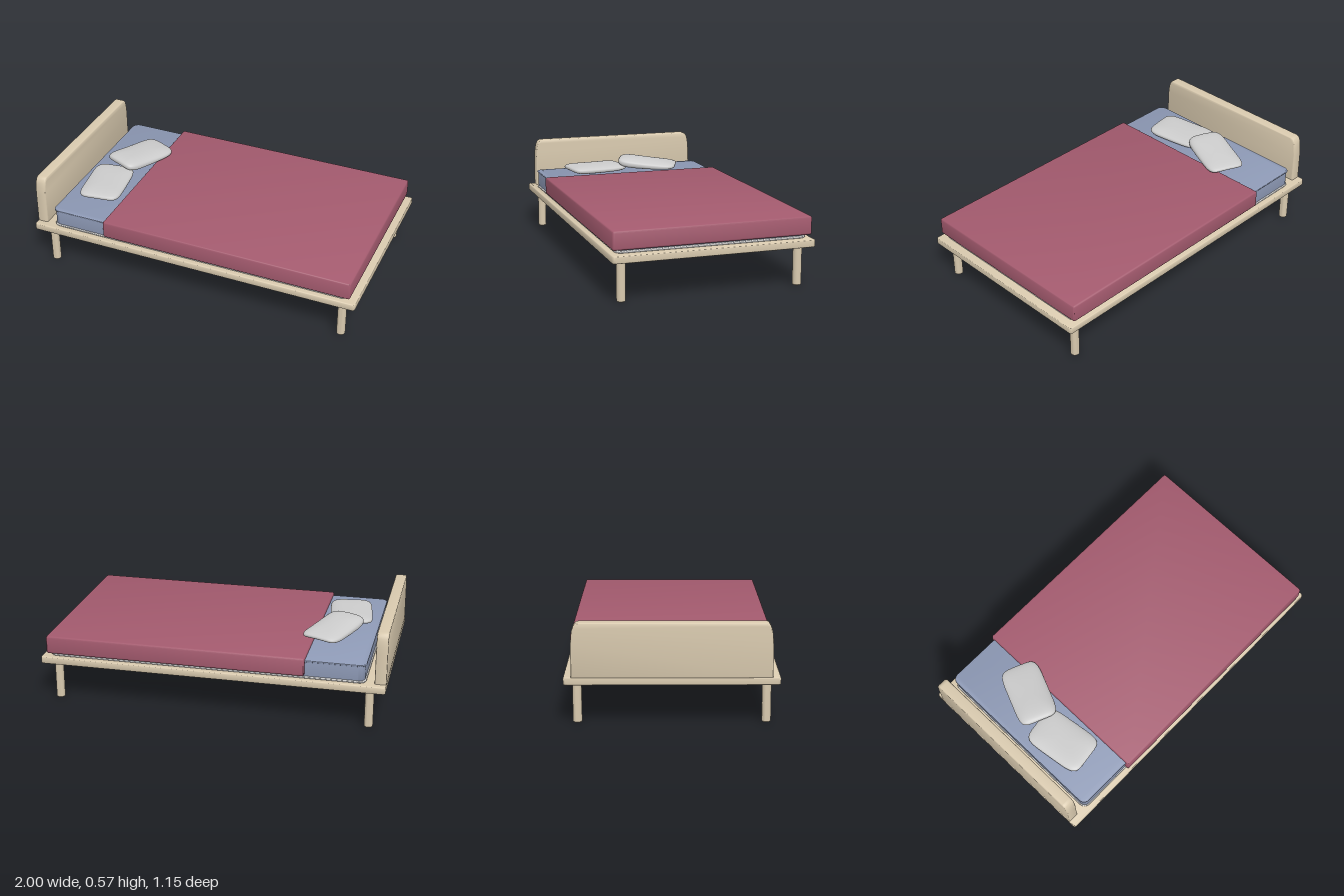
import * as THREE from 'three';
import { mergeVertices, toCreasedNormals } from 'three/addons/utils/BufferGeometryUtils.js';

const material = (color) => new THREE.MeshStandardMaterial({ color });
const WOOD = material(0xd8c9ae);
const BLUE = material(0x8d99b5);
const RED = material(0xa35a6e);
const GREY = material(0xcccccc);

function add(group, name, geometry, mat) {
  const mesh = new THREE.Mesh(geometry, mat);
  mesh.name = name;
  group.add(mesh);
  return mesh;
}

// Outline extruded to an exact depth, with rounded edges inside its limits
function extrude(shape, depth, bevel) {
  const geometry = new THREE.ExtrudeGeometry(shape, {
    depth: depth - 2 * bevel, bevelThickness: bevel, bevelSize: bevel,
    bevelOffset: -bevel, bevelSegments: 4, curveSegments: 8,
  });
  geometry.translate(0, 0, bevel);
  return toCreasedNormals(geometry, 0.6);
}

// Horizontal slab with rounded corners
function slab([x0, x1], [y0, y1], [z0, z1], radius, bevel) {
  const s = new THREE.Shape();
  const a = -z1, b = -z0, r = radius;
  s.moveTo(x0 + r, a);
  s.lineTo(x1 - r, a).absarc(x1 - r, a + r, r, -Math.PI / 2, 0);
  s.lineTo(x1, b - r).absarc(x1 - r, b - r, r, 0, Math.PI / 2);
  s.lineTo(x0 + r, b).absarc(x0 + r, b - r, r, Math.PI / 2, Math.PI);
  s.lineTo(x0, a + r).absarc(x0 + r, a + r, r, Math.PI, Math.PI * 1.5);
  return extrude(s, y1 - y0, bevel).rotateX(-Math.PI / 2).translate(0, y0, 0);
}

// Soft rectangular cushion; lift(u, v) and thick(u) shape it along its length u and width v
function pillow(length, width, lift, thick) {
  const g = new THREE.SphereGeometry(1, 56, 28);
  g.deleteAttribute('uv');
  g.deleteAttribute('normal');
  const geometry = mergeVertices(g, 1e-5);
  const p = geometry.attributes.position;
  const pow = (t, e) => Math.sign(t) * Math.abs(t) ** e;
  for (let i = 0; i < p.count; i++) {
    const x = p.getX(i), y = p.getY(i), z = p.getZ(i);
    const ring = Math.hypot(x, z);
    const angle = Math.atan2(z, x);
    const v = pow(Math.cos(angle), 0.36) * ring ** 0.75;
    const u = pow(Math.sin(angle), 0.36) * ring ** 0.75;
    p.setXYZ(i, v * width / 2, lift(u, v) + pow(y, 0.75) * thick(u), u * length / 2);
  }
  geometry.computeVertexNormals();
  return geometry;
}

export function createModel() {
  const bed = new THREE.Group();
  bed.name = 'bed';

  // Platform and legs
  add(bed, 'platform', slab([-1, 1], [0.228, 0.271], [-0.576, 0.576], 0.015, 0.008), WOOD);
  const legProfile = [[0, 0], [0.021, 0], [0.025, 0.005], [0.025, 0.232], [0, 0.232]]
    .map(([x, y]) => new THREE.Vector2(x, y));
  for (const x of [-0.908, 0.912]) {
    for (const z of [-0.507, 0.507]) {
      const leg = toCreasedNormals(new THREE.LatheGeometry(legProfile, 24), 0.6);
      add(bed, 'leg', leg, WOOD).position.set(x, 0, z);
    }
  }

  // Headboard, narrowing towards its rounded top
  const board = new THREE.Shape();
  board.moveTo(-0.535, 0.265);
  board.lineTo(0.535, 0.265);
  board.lineTo(0.533, 0.45);
  board.bezierCurveTo(0.53, 0.53, 0.52, 0.566, 0.49, 0.566);
  board.lineTo(-0.49, 0.566);
  board.bezierCurveTo(-0.52, 0.566, -0.53, 0.53, -0.533, 0.45);
  add(bed, 'headboard', extrude(board, 0.066, 0.01).rotateY(Math.PI / 2), WOOD).position.x = -1;

  // Mattress with a raised seam at top and bottom
  add(bed, 'mattress', slab([-0.88, 0.945], [0.275, 0.381], [-0.54, 0.54], 0.035, 0.006), BLUE);
  add(bed, 'mattressTopSeam', slab([-0.887, 0.952], [0.369, 0.38], [-0.546, 0.546], 0.04, 0.005), BLUE);
  add(bed, 'mattressBottomSeam', slab([-0.887, 0.952], [0.271, 0.285], [-0.546, 0.546], 0.04, 0.006), GREY);

  // Blanket
  add(bed, 'blanket', slab([-0.545, 0.966], [0.29, 0.396], [-0.568, 0.566], 0.012, 0.012), RED);

  // Pillows, the second resting partly on the first
  const lower = add(bed, 'lowerPillow', pillow(0.365, 0.25,
    (u, v) => 0.41 + 0.004 * u * u - 0.003 * v * v,
    (u) => 0.025 + 0.002 * u), GREY);
  lower.position.set(-0.705, 0, 0.195);
  lower.rotation.y = 0.14;

  const upper = add(bed, 'upperPillow', pillow(0.37, 0.235,
    (u, v) => 0.433 - 0.014 * u + 0.006 * u * u - 0.008 * v * v,
    (u) => 0.031 - 0.007 * u), GREY);
  upper.position.set(-0.645, 0, -0.143);
  upper.rotation.y = Math.PI - 0.4;

  return bed;
}
